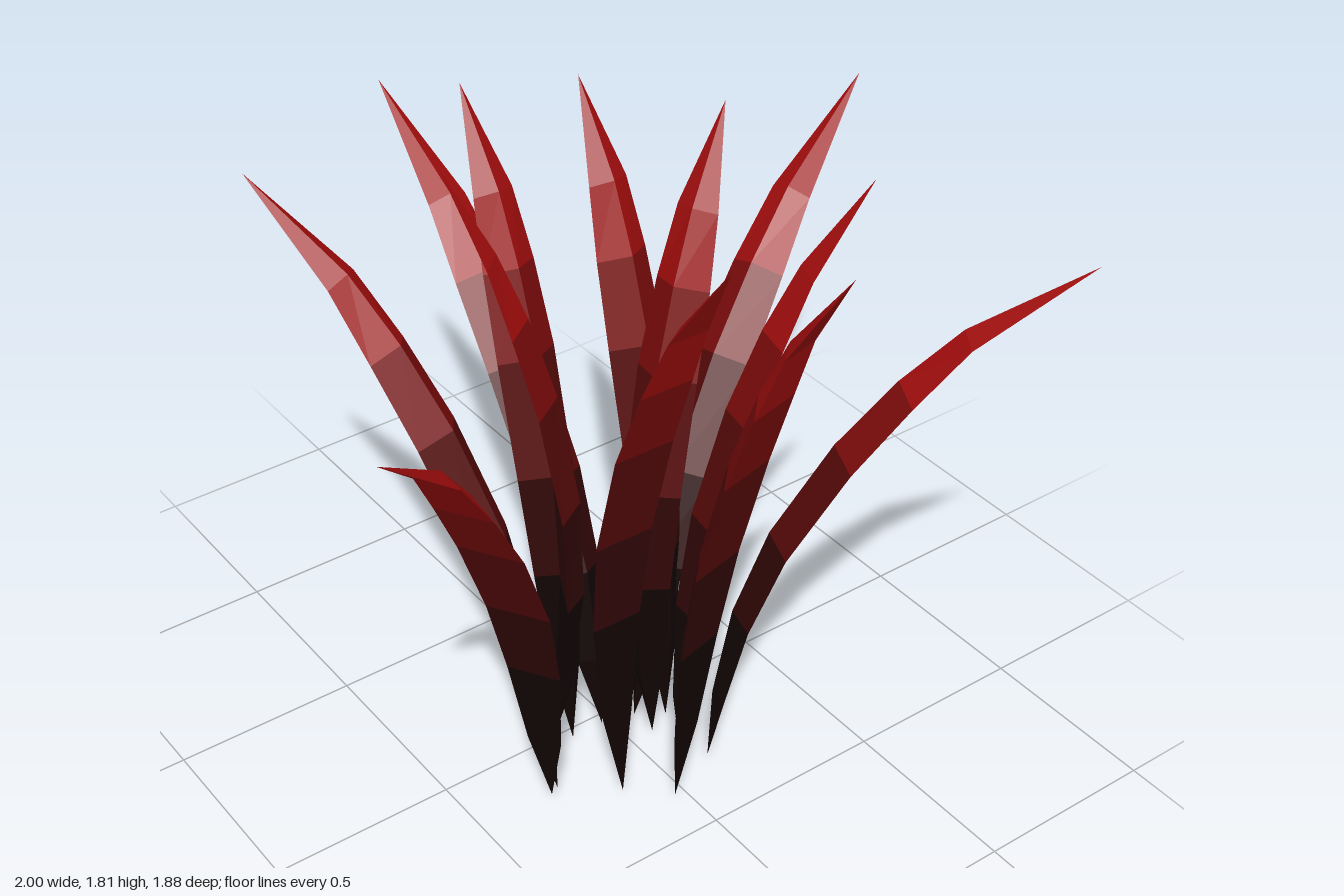
import * as THREE from 'three';

// Rows from root to tip: [share of height, share of reach, share of inward curl, half width, thickness]
const ROWS = [
  [0, 0, 0, 0, 0],
  [0.14, 0.03, 0.55, 0.045, 0.035],
  [0.31, 0.09, 0.9, 0.07, 0.05],
  [0.47, 0.19, 1, 0.082, 0.055],
  [0.645, 0.36, 0.85, 0.083, 0.055],
  [0.77, 0.52, 0.6, 0.073, 0.048],
  [0.87, 0.675, 0.35, 0.055, 0.03],
  [1, 1, 0, 0, 0],
];

// Three-cornered sections: two edges and a ridge on the inner side
function sections(height, reach, curl) {
  const path = ROWS.map(([h, r, c]) => [h * height, r * reach - c * curl]);
  return ROWS.map(([, , , w, t], i) => {
    const [y, z] = path[i];
    const a = path[Math.max(i - 1, 0)], b = path[Math.min(i + 1, path.length - 1)];
    const dy = b[0] - a[0], dz = b[1] - a[1], len = Math.hypot(dy, dz);
    const at = (x, k) => [x, y + (dz / len) * k * t, z - (dy / len) * k * t];
    return [at(w, -0.5), at(0, 0.5), at(-w, -0.5)];
  });
}

// Skin over some rows of the blade, closing to a point at both ends
function band(rings, from, to) {
  const pos = [];
  for (let i = from; i < to; i++) {
    const p = rings[i], q = rings[i + 1];
    for (let j = 0; j < 3; j++) {
      const k = (j + 1) % 3;
      if (i > 0) pos.push(...p[j], ...p[k], ...q[k]);
      if (i < rings.length - 2) pos.push(...p[j], ...q[k], ...q[j]);
    }
  }
  const g = new THREE.BufferGeometry();
  g.setAttribute('position', new THREE.Float32BufferAttribute(pos, 3));
  g.computeVertexNormals();
  return g;
}

// Blades: root x, y, z, then tip x, y, z, then inward curl
const BLADES = [
  [-0.31, 0.04, 0.21, -1.0, 1.64, 0.64, 0],
  [-0.285, 0.04, 0.2, -0.65, 1.64, -0.52, 0],
  [-0.245, 0.02, 0.085, -0.43, 1.81, -0.01, 0.11],
  [-0.13, 0.02, 0.05, -0.13, 1.77, -0.39, 0],
  [-0.035, 0.02, 0.05, -0.03, 1.52, -0.94, 0],
  [0.125, 0.02, 0.12, 0.12, 1.77, -0.26, 0.02],
  [0.05, 0.03, 0.08, 1.0, 1.52, -0.24, 0],
  [0.05, 0.03, 0.16, 0.31, 1.78, 0.06, 0.1],
  [0.05, 0, 0.29, 0.36, 1.77, 0.53, 0.04],
  [0.09, 0.06, 0.345, 0.66, 1.64, 0.94, 0],
  [-0.05, 0.03, 0.39, 0.05, 1.77, 0.82, 0],
  [-0.135, 0.01, 0.28, -0.14, 1.77, 0.65, 0.1],
];

export function createModel() {
  const model = new THREE.Group();
  model.name = 'grassTuft';

  // Colour runs from a near-black root to a red tip
  const bands = [
    ['bladeRoot', 0, 2, 0x120404],
    ['bladeLower', 2, 3, 0x300606],
    ['bladeMiddle', 3, 4, 0x560909],
    ['bladeUpper', 4, 5, 0x7c0b0b],
    ['bladeTip', 5, 7, 0xa00d0d],
  ].map(([name, from, to, color]) => ({
    name, from, to,
    material: new THREE.MeshStandardMaterial({ color, flatShading: true }),
  }));

  BLADES.forEach(([x, y, z, tipX, tipY, tipZ, curl], n) => {
    const dx = tipX - x, dz = tipZ - z;
    const rings = sections(tipY - y, Math.hypot(dx, dz), curl);
    const blade = new THREE.Group();
    blade.name = `blade${n + 1}`;
    for (const { name, from, to, material } of bands) {
      const mesh = new THREE.Mesh(band(rings, from, to), material);
      mesh.name = name;
      blade.add(mesh);
    }
    // Turn the blade so that it leans toward its tip
    blade.position.set(x, y, z);
    blade.rotation.y = Math.atan2(dx, dz);
    model.add(blade);
  });
  return model;
}
